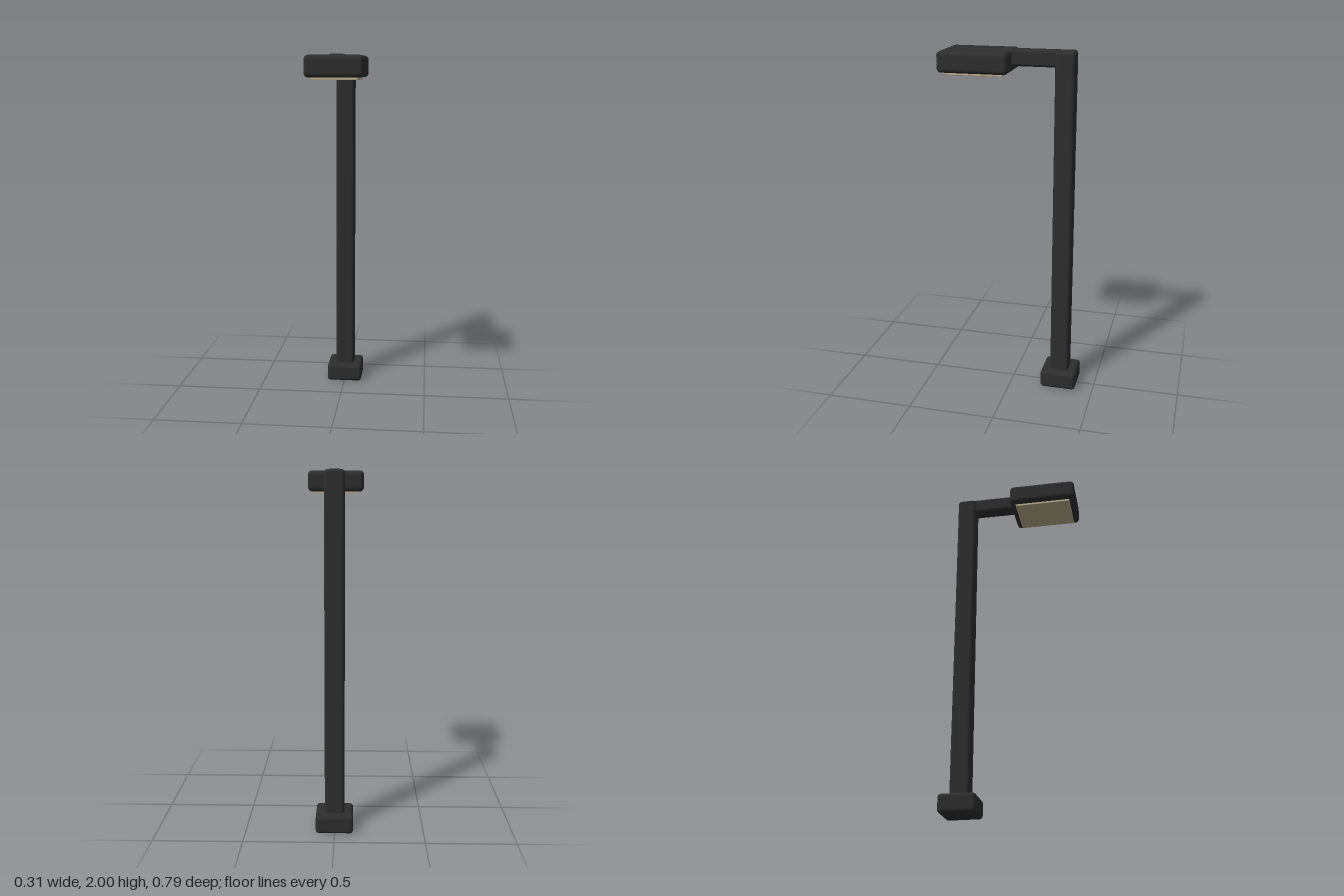
import * as THREE from 'three';
import { RoundedBoxGeometry } from 'three/addons/geometries/RoundedBoxGeometry.js';

export function createModel() {
  const group = new THREE.Group();
  const darkMetal = new THREE.MeshStandardMaterial({ color: 0x2d2d2d });
  darkMetal.name = 'dark metal';
  const warmLens = new THREE.MeshStandardMaterial({ color: 0xb8ab8a });
  warmLens.name = 'warm lens';

  // Rounded block, centred on x, spanning the given y and z ranges
  function block(name, width, [y0, y1], [z0, z1], radius, material) {
    const geometry = new RoundedBoxGeometry(width, y1 - y0, z1 - z0, 4, radius);
    const mesh = new THREE.Mesh(geometry, material);
    mesh.name = name;
    mesh.position.set(0, (y0 + y1) / 2, (z0 + z1) / 2);
    group.add(mesh);
  }

  // Footing and post
  block('base', 0.21, [0, 0.105], [-0.397, -0.187], 0.02, darkMetal);
  block('post', 0.11, [0.06, 1.998], [-0.346, -0.236], 0.02, darkMetal);

  // Arm reaching forward, sunk into the top of the lamp head
  block('arm', 0.088, [1.91, 2], [-0.346, 0.256], 0.016, darkMetal);

  // Lamp head with the light panel under it
  block('lampHead', 0.314, [1.876, 1.992], [0.002, 0.397], 0.024, darkMetal);
  block('lens', 0.25, [1.863, 1.885], [0.035, 0.365], 0.003, warmLens);

  return group;
}
